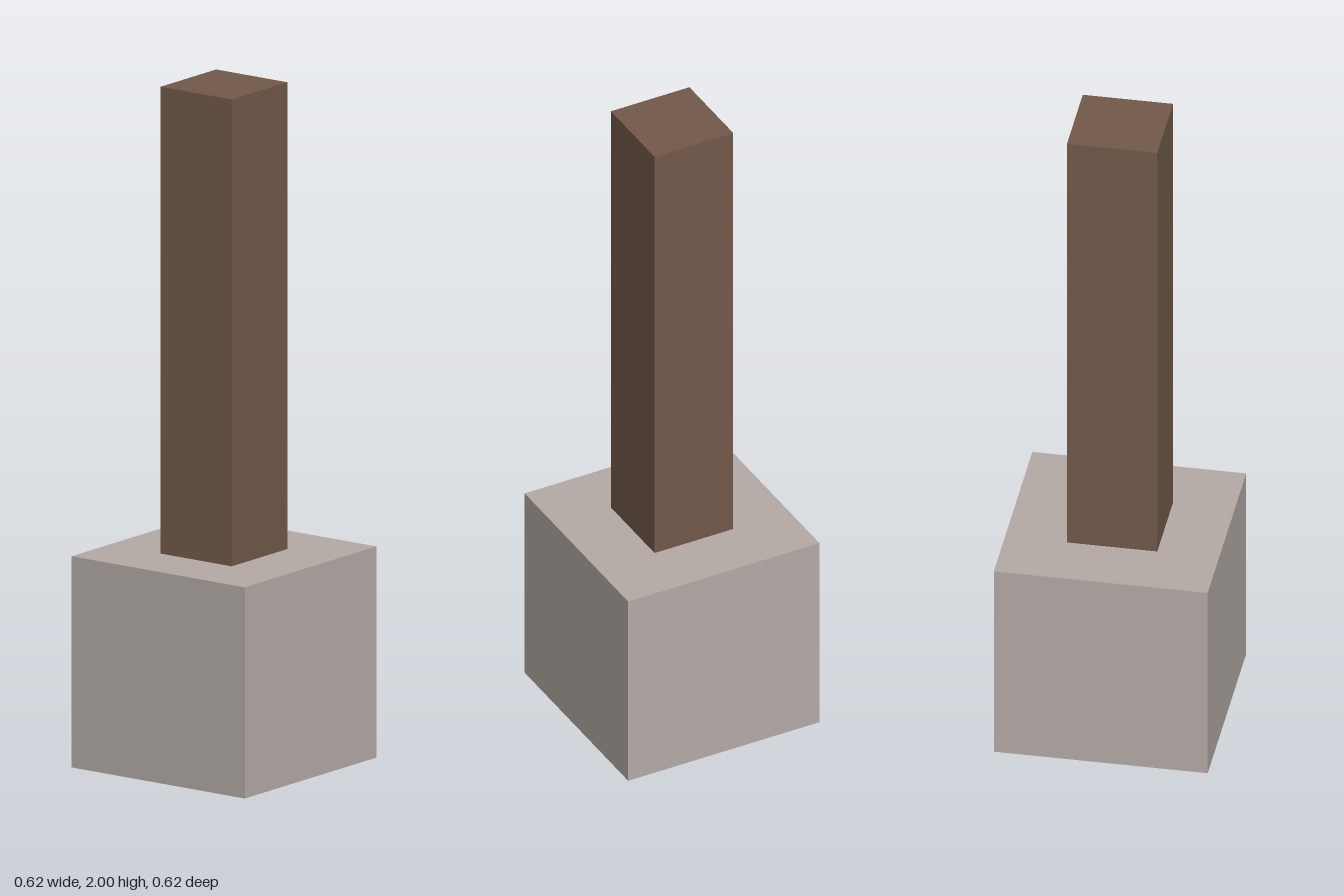
import * as THREE from 'three';

// Box with its underside at y = bottom
function block(name, color, width, height, depth, bottom) {
  const mesh = new THREE.Mesh(
    new THREE.BoxGeometry(width, height, depth),
    new THREE.MeshStandardMaterial({ color })
  );
  mesh.name = name;
  mesh.position.y = bottom + height / 2;
  return mesh;
}

export function createModel() {
  const model = new THREE.Group();
  model.name = 'postOnBlock';

  const baseSize = 0.623;
  // Cubic stone base
  model.add(block('base', 0xb5aca7, baseSize, baseSize, baseSize, 0));
  // Wooden post standing on the base
  model.add(block('post', 0x735a4a, 0.263, 2 - baseSize, 0.256, baseSize));

  return model;
}
